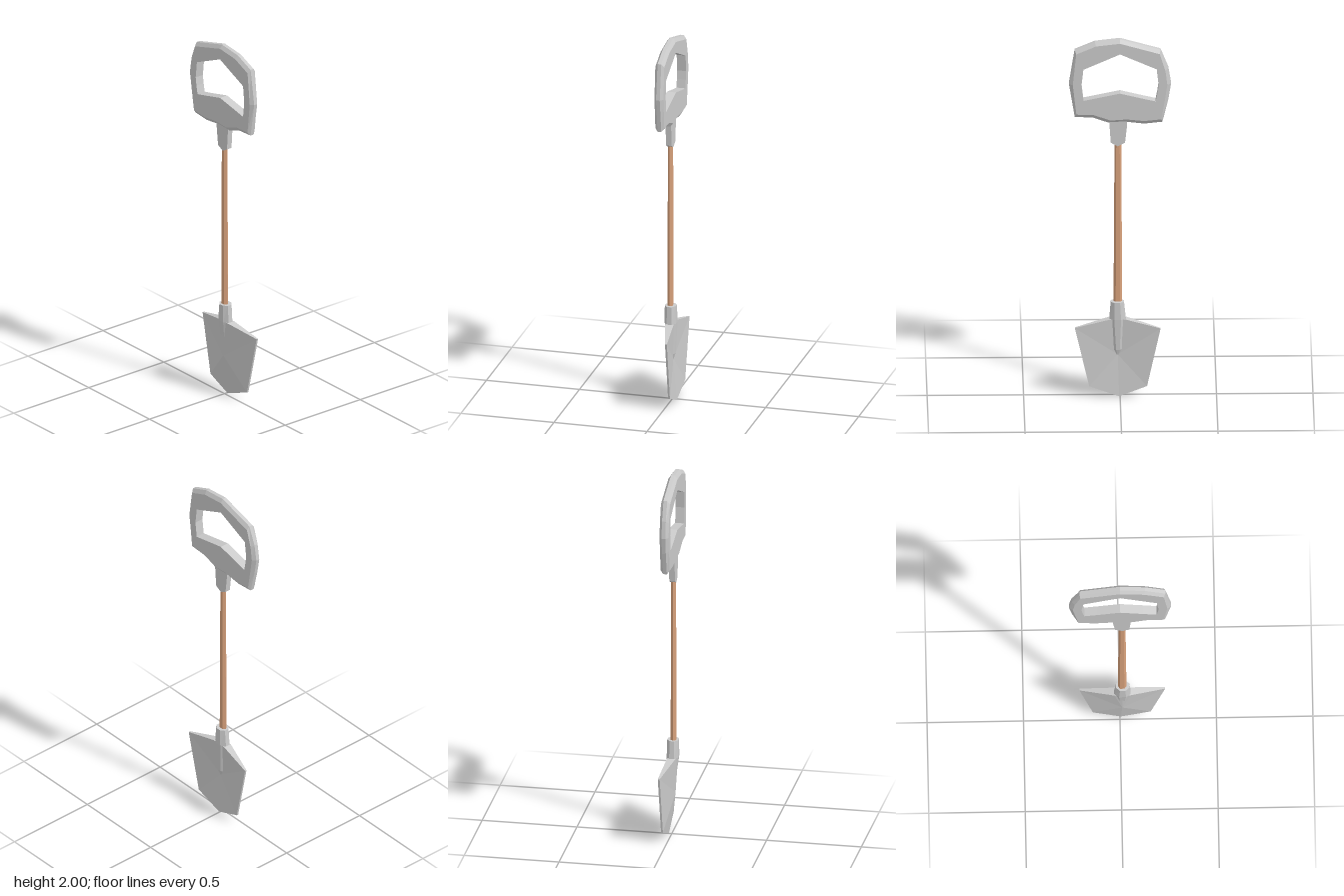
import * as THREE from 'three';

const grey = new THREE.MeshStandardMaterial({ color: 0xcccccc, flatShading: true });
const wood = new THREE.MeshStandardMaterial({ color: 0xd9a27c, flatShading: true });
const v = (x, y, z) => new THREE.Vector3(x, y, z);

function facets(tris) {
  const geometry = new THREE.BufferGeometry().setFromPoints(tris);
  geometry.computeVertexNormals();
  return geometry;
}

// Skin between successive rings of points; closed joins the last ring to the first.
function loft(rings, closed) {
  const tris = [];
  const n = rings[0].length;
  for (let i = 0; i < rings.length - (closed ? 0 : 1); i++) {
    const a = rings[i], b = rings[(i + 1) % rings.length];
    for (let j = 0; j < n; j++) {
      const k = (j + 1) % n;
      tris.push(a[j], a[k], b[k], a[j], b[k], b[j]);
    }
  }
  if (!closed) {
    const low = rings[0], top = rings[rings.length - 1];
    for (let j = 1; j < n - 1; j++) {
      tris.push(low[0], low[j + 1], low[j], top[0], top[j], top[j + 1]);
    }
  }
  return facets(tris);
}

// Horizontal ring with chamfered corners
function ring(y, x0, x1, z0, z1, sides = 8) {
  const cx = (x0 + x1) / 2, cz = (z0 + z1) / 2;
  const grow = 1 / Math.cos(Math.PI / sides);
  return Array.from({ length: sides }, (_, i) => {
    const t = ((i + 0.5) / sides) * Math.PI * 2;
    return v(cx + Math.cos(t) * grow * (x1 - x0) / 2, y, cz - Math.sin(t) * grow * (z1 - z0) / 2);
  });
}

// Closed hand grip: outer [z, y] paired with hole [z, y], chamfered around the rim
function gripGeometry() {
  const cx = -0.006;
  const stations = [
    [0, 2, 0, 1.92], [0.13, 1.985, 0.1, 1.875], [0.235, 1.94, 0.19, 1.835],
    [0.265, 1.75, 0.2, 1.745], [0.235, 1.565, 0.19, 1.66], [0.14, 1.56, 0.12, 1.675],
    [0.055, 1.53, 0, 1.7], [-0.04, 1.535, 0, 1.7], [-0.125, 1.525, -0.12, 1.67],
    [-0.22, 1.535, -0.185, 1.655], [-0.25, 1.66, -0.194, 1.7], [-0.265, 1.75, -0.2, 1.745],
    [-0.25, 1.84, -0.195, 1.79], [-0.21, 1.94, -0.19, 1.835],
  ];
  return loft(stations.map(([z, y, hz, hy]) => {
    const inset = 0.02 / Math.hypot(hz - z, hy - y);
    const fz = z + (hz - z) * inset, fy = y + (hy - y) * inset;
    return [
      v(cx + 0.01, y, z), v(cx - 0.01, y, z), v(cx - 0.024, fy, fz),
      v(cx - 0.024, hy, hz), v(cx + 0.024, hy, hz), v(cx + 0.024, fy, fz),
    ];
  }), true);
}

// Neck below the grip, a flat pointed tab
function neckGeometry() {
  const shape = new THREE.Shape([
    [0.058, 1.56], [0.055, 1.52], [0.048, 1.42], [0.012, 1.4], [-0.026, 1.42], [-0.037, 1.52], [-0.037, 1.56],
  ].map(([z, y]) => new THREE.Vector2(z, y)));
  const geometry = new THREE.ExtrudeGeometry(shape, { depth: 0.03, bevelEnabled: false });
  return geometry.rotateY(-Math.PI / 2).translate(0.008, 0, 0);
}

// Blade: shallow dished face on +x, peaked back on -x
function bladeGeometry() {
  // z, y, face x, back x
  const outline = [
    [0.012, 0.43, 0.016, -0.028], [0.055, 0.43, 0.02, -0.024], [0.235, 0.39, 0.034, 0.024],
    [0.16, 0.06, 0.03, 0.02], [0.005, 0.002, 0.026, 0.016], [-0.14, 0.06, 0.03, 0.02],
    [-0.21, 0.385, 0.034, 0.024], [-0.03, 0.43, 0.02, -0.024],
  ];
  const face = outline.map(([z, y, f]) => v(f, y, z));
  const back = outline.map(([z, y, , b]) => v(b, y, z));
  const faceCentre = v(0.008, 0.23, 0.012), backCentre = v(-0.018, 0.23, 0.012);
  const tris = [];
  face.forEach((a, i) => {
    const k = (i + 1) % face.length;
    tris.push(faceCentre, a, face[k], backCentre, back[k], back[i]);
    tris.push(a, back[i], back[k], a, back[k], face[k]);
  });
  return facets(tris);
}

export function createModel() {
  const group = new THREE.Group();
  const add = (name, geometry, material = grey) => {
    const mesh = new THREE.Mesh(geometry, material);
    mesh.name = name;
    group.add(mesh);
  };
  add('grip', gripGeometry());
  add('gripNeck', neckGeometry());
  add('shaft', loft([
    ring(0.45, -0.022, 0.006, -0.008, 0.031, 6),
    ring(1.43, -0.019, 0.004, -0.005, 0.026, 6),
  ]), wood);
  add('blade', bladeGeometry());
  // Socket with a rib tapering down the blade
  add('bladeSocket', loft([
    ring(0.23, 0.004, 0.01, 0.006, 0.018),
    ring(0.26, -0.012, 0.018, -0.012, 0.034),
    ring(0.43, -0.034, 0.026, -0.03, 0.055),
    ring(0.525, -0.034, 0.024, -0.02, 0.048),
  ]));
  return group;
}
